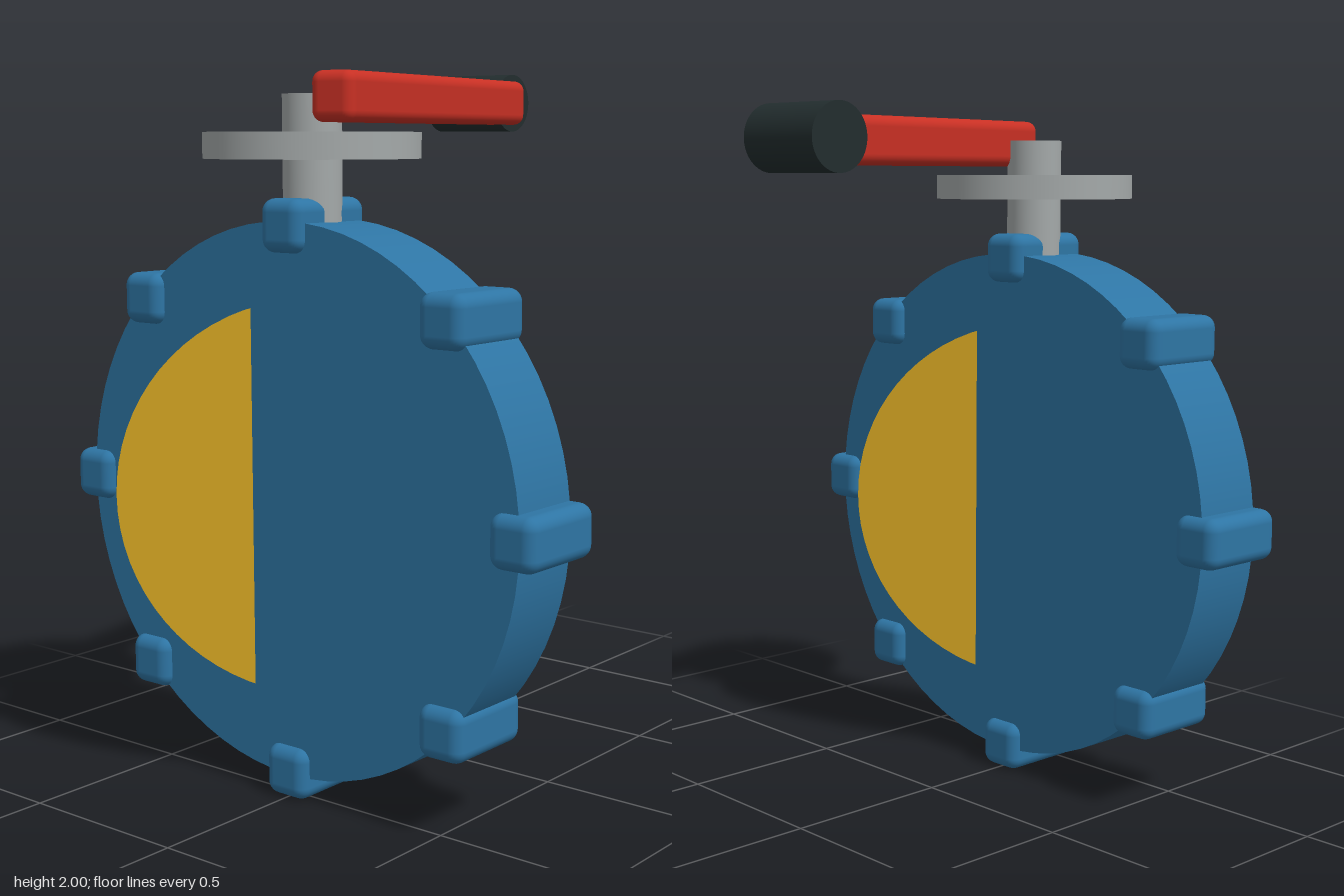
import * as THREE from 'three';
import { RoundedBoxGeometry } from 'three/addons/geometries/RoundedBoxGeometry.js';

const AXIS_X = -0.417; // valve and stem centre line
const HUB_Y = 0.825;

function material(name, color) {
  const m = new THREE.MeshStandardMaterial({ color });
  m.name = name;
  return m;
}

export function createModel() {
  const blue = material('blue paint', 0x2e75a4);
  const yellow = material('yellow disc', 0xdcab24);
  const red = material('red paint', 0xc83024);
  const grey = material('grey metal', 0xa4a9a9);
  const black = material('black grip', 0x222d2e);

  const model = new THREE.Group();
  model.name = 'butterflyValve';

  const add = (name, geometry, mat, x, y, z) => {
    const mesh = new THREE.Mesh(geometry, mat);
    mesh.name = name;
    mesh.position.set(x, y, z);
    model.add(mesh);
    return mesh;
  };
  const cylinder = (radius, height) => new THREE.CylinderGeometry(radius, radius, height, 72);

  // Round body lying across the pipe
  add('body', cylinder(0.762, 0.226).rotateZ(Math.PI / 2), blue, AXIS_X, HUB_Y, 0);

  // Eight upright lugs around the rim
  const lug = new RoundedBoxGeometry(0.286, 0.144, 0.144, 4, 0.036);
  for (let i = 0; i < 8; i++) {
    const a = (i * Math.PI) / 4;
    add('lug' + (i + 1), lug, blue, AXIS_X, HUB_Y + 0.75 * Math.cos(a), 0.75 * Math.sin(a));
  }

  // Half-turned flap passing through the body
  const flap = add('flap', cylinder(0.552, 0.056).rotateZ(Math.PI / 2), yellow, AXIS_X, HUB_Y, 0);
  flap.rotation.y = 0.56;

  // Stem and top plate
  add('stem', cylinder(0.08, 0.62), grey, AXIS_X, 1.61, 0);
  add('topPlate', cylinder(0.292, 0.07), grey, AXIS_X, 1.785, 0);

  // Lever and its grip
  const lever = add('lever', new RoundedBoxGeometry(1.166, 0.134, 0.128, 4, 0.03), red, 0.085, 1.912, 0);
  lever.rotation.y = 0.21;
  add('grip', cylinder(0.088, 0.274).rotateX(Math.PI / 2), black, 0.638, 1.912, -0.228);

  return model;
}
